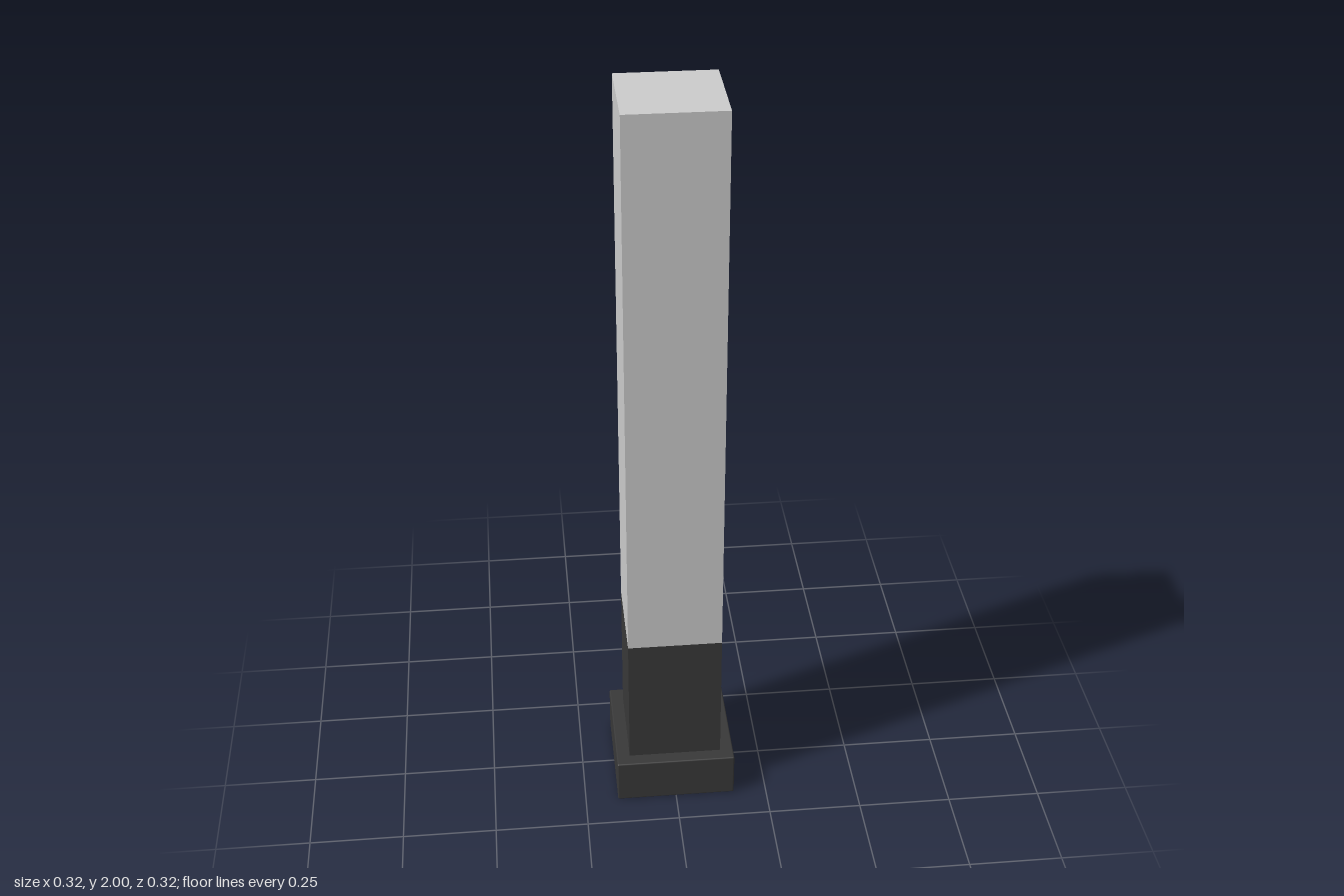
import * as THREE from 'three';
import { RoundedBoxGeometry } from 'three/addons/geometries/RoundedBoxGeometry.js';

const BASE_WIDTH = 0.322, BASE_HEIGHT = 0.125;
const POST_WIDTH = 0.25, SLEEVE_TOP = 0.5, POST_TOP = 2;

export function createModel() {
  const group = new THREE.Group();
  const grey = new THREE.MeshStandardMaterial({ color: 0xcccccc });
  const dark = new THREE.MeshStandardMaterial({ color: 0x383838 });

  // Places a part so that it stands on the given height
  const addPart = (name, geometry, material, bottom, height) => {
    const mesh = new THREE.Mesh(geometry, material);
    mesh.name = name;
    mesh.position.y = bottom + height / 2;
    group.add(mesh);
  };

  // Wide foot with softly rounded edges
  addPart('base', new RoundedBoxGeometry(BASE_WIDTH, BASE_HEIGHT, BASE_WIDTH, 3, 0.004),
    dark, 0, BASE_HEIGHT);

  // Dark lower section of the post
  const sleeveHeight = SLEEVE_TOP - BASE_HEIGHT;
  addPart('lowerPost', new THREE.BoxGeometry(POST_WIDTH, sleeveHeight, POST_WIDTH),
    dark, BASE_HEIGHT, sleeveHeight);

  // Plain square shaft above it
  const shaftHeight = POST_TOP - SLEEVE_TOP;
  addPart('upperPost', new THREE.BoxGeometry(POST_WIDTH, shaftHeight, POST_WIDTH),
    grey, SLEEVE_TOP, shaftHeight);

  return group;
}
